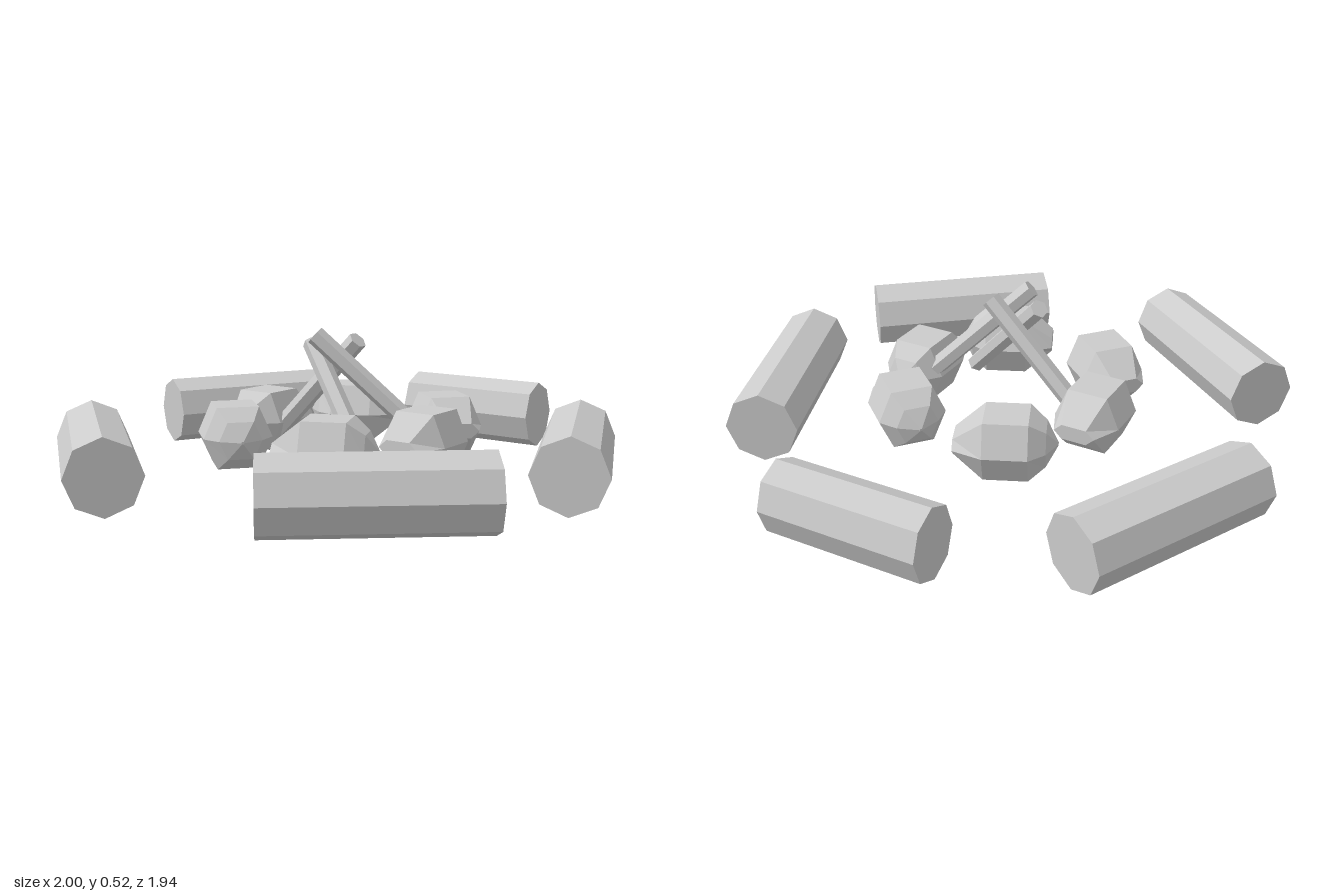
import * as THREE from 'three';

const mat = new THREE.MeshStandardMaterial({ color: 0xcccccc, flatShading: true });
const rad = THREE.MathUtils.degToRad;

// Faceted stone: hexagonal rings along z, wedge at the back, blunt point at the front
function stoneGeometry() {
  const hex = [[0.115, 0], [0.07, 0.103], [-0.07, 0.103], [-0.115, 0], [-0.07, -0.103], [0.07, -0.103]];
  const rings = [[-0.168, 0.62, 0.25], [-0.07, 1, 1], [0.075, 1, 1], [0.13, 0.62, 0.6], [0.168, 0.04, 0.04]];
  const pos = [], idx = [], n = hex.length;
  for (const [z, sx, sy] of rings) for (const [x, y] of hex) pos.push(x * sx, y * sy, z);
  for (let r = 0; r < rings.length - 1; r++) {
    for (let i = 0; i < n; i++) {
      const a = r * n + i, b = r * n + (i + 1) % n;
      idx.push(a, b, b + n, a, b + n, a + n);
    }
  }
  // End caps
  const last = (rings.length - 1) * n;
  for (let i = 1; i < n - 1; i++) {
    idx.push(0, i + 1, i);
    idx.push(last, last + i, last + i + 1);
  }
  const g = new THREE.BufferGeometry();
  g.setAttribute('position', new THREE.Float32BufferAttribute(pos, 3));
  g.setIndex(idx);
  const flat = g.toNonIndexed();
  flat.computeVertexNormals();
  return flat;
}

export function createModel() {
  const model = new THREE.Group();
  const add = (name, geometry) => {
    const mesh = new THREE.Mesh(geometry, mat);
    mesh.name = name;
    model.add(mesh);
    return mesh;
  };

  // Seating logs lying around the fire: x, z, yaw, length, half width
  const logs = [
    [0.053, -0.866, 1, 0.545, 0.108],
    [0.754, -0.278, -68, 0.685, 0.123],
    [0.537, 0.553, 39.9, 0.685, 0.123],
    [-0.497, 0.652, -39, 0.685, 0.123],
    [-0.738, -0.406, 63.4, 0.685, 0.123],
  ];
  for (const [x, z, yaw, length, half] of logs) {
    const g = new THREE.CylinderGeometry(1, 1, length, 8);
    g.rotateZ(Math.PI / 2);
    g.scale(1, 0.125, half);
    const log = add('log', g);
    log.position.set(x, 0.125, z);
    log.rotation.y = rad(yaw);
  }

  // Ring of stones: x, z, yaw
  const stones = [
    [-0.337, -0.03, 0], [-0.166, -0.337, -66], [0.24, -0.3, -130],
    [0.36, 0.01, -180], [0.19, 0.32, -246], [-0.225, 0.285, -310],
  ];
  const stone = stoneGeometry();
  for (const [x, z, yaw] of stones) {
    const mesh = add('stone', stone);
    mesh.position.set(x, 0.168, z);
    mesh.rotation.y = rad(yaw);
  }

  // Leaning firewood sticks: foot and tip
  const sticks = [
    [[-0.3, 0.1, 0], [0.08, 0.48, 0]],
    [[0.26, 0.1, 0.2], [-0.085, 0.465, 0.04]],
    [[0.33, 0.14, -0.08], [-0.02, 0.5, 0.107]],
  ];
  for (const [from, to] of sticks) {
    const a = new THREE.Vector3(...from), b = new THREE.Vector3(...to);
    const stick = add('stick', new THREE.CylinderGeometry(0.033, 0.033, a.distanceTo(b), 6));
    stick.position.copy(a).add(b).multiplyScalar(0.5);
    stick.quaternion.setFromUnitVectors(new THREE.Vector3(0, 1, 0), b.sub(a).normalize());
  }
  return model;
}
